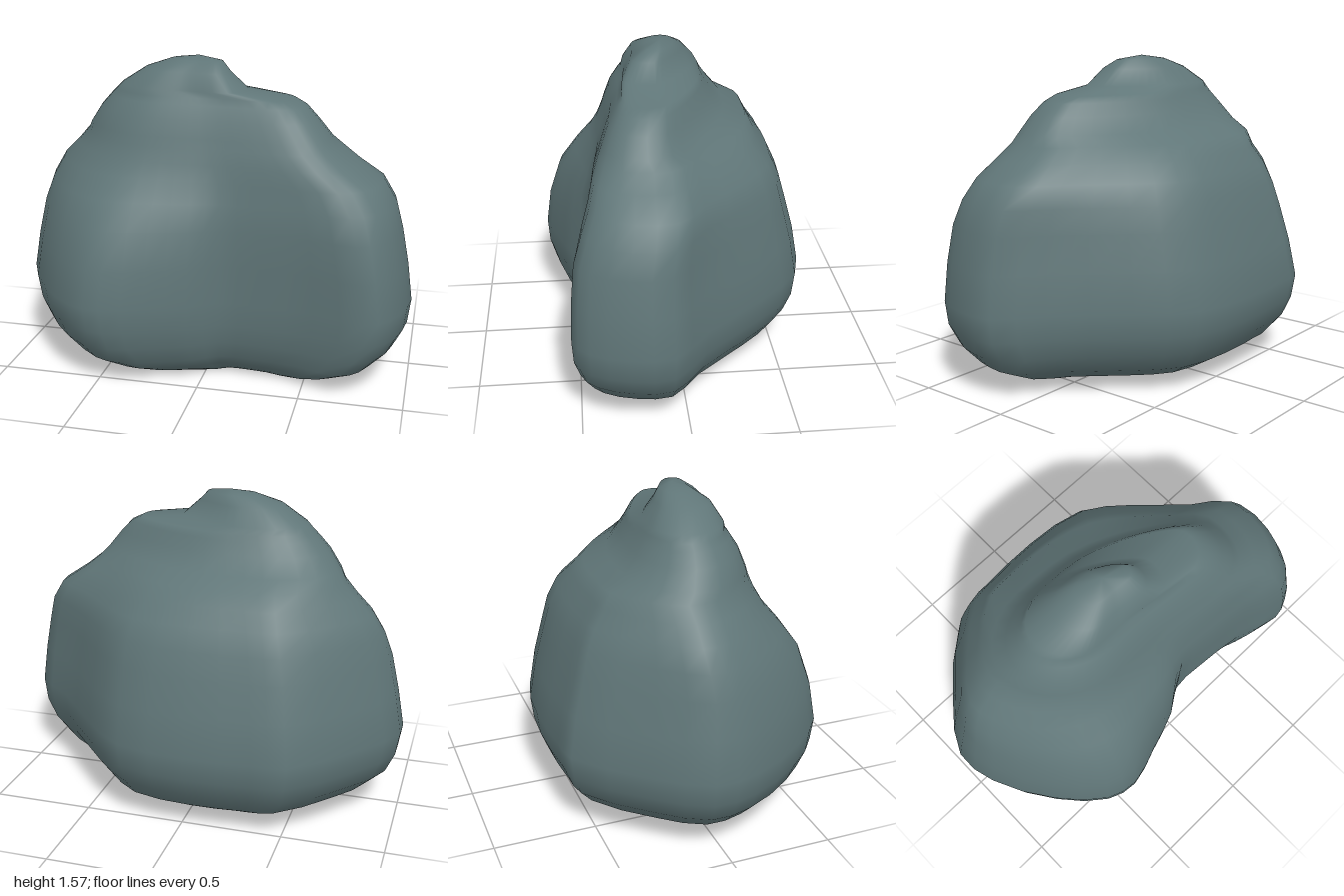
import * as THREE from 'three';

// Plan outlines [x, z] with matching corners, running from +x round by +z
const FOOT = [
  [1, .07], [1, .27], [.93, .45], [.82, .53], [.57, .46], [.3, .43], [.1, .43],
  [-.04, .52], [-.24, .59], [-.44, .65], [-.6, .61], [-.8, .42], [-.97, .13], [-1, -.09],
  [-.84, -.33], [-.54, -.62], [-.38, -.64], [-.05, -.655], [.3, -.6], [.53, -.4], [.8, -.1],
];
const CREST = [
  [.6, .09], [.6, .22], [.55, .31], [.46, .355], [.32, .355], [.16, .34], [.03, .33],
  [-.08, .33], [-.2, .33], [-.34, .32], [-.46, .28], [-.58, .19], [-.66, .06], [-.67, -.08],
  [-.59, -.21], [-.43, -.29], [-.25, -.3], [-.02, -.28], [.18, -.21], [.35, -.12], [.51, -.01],
];

// Levels: y, xMin, xMax, zMin, zMax, then blend from foot to crest outline at the back and front
const LEVELS = [
  [0, -.36, .5, -.12, .33, 0, 0],
  [.025, -.54, .6, -.31, .41, 0, 0],
  [.06, -.7, .72, -.43, .48, 0, 0],
  [.12, -.84, .85, -.53, .56, 0, 0],
  [.21, -.935, .935, -.6, .61, 0, 0],
  [.31, -.98, .985, -.64, .645, 0, 0],
  [.43, -1, 1, -.655, .655, 0, 0],
  [.62, -.965, .975, -.62, .635, 0, .08],
  [.8, -.925, .94, -.57, .59, 0, .28],
  [.92, -.885, .905, -.535, .52, 0, .55],
  [1.02, -.83, .84, -.49, .45, .06, .85],
  [1.1, -.75, .72, -.43, .41, .25, 1],
  [1.17, -.69, .63, -.39, .38, .55, 1],
  [1.215, -.66, .59, -.28, .36, .95, 1],
  [1.3, -.6, .52, -.21, .325, 1, 1],
  [1.36, -.545, .46, -.17, .285, 1, 1],
  [1.39, -.515, .4, -.155, .26, 1, 1],
  [1.42, -.485, .17, -.135, .245, 1, 1],
  [1.5, -.36, .08, -.07, .2, 1, 1],
  [1.545, -.23, .035, -.02, .13, 1, 1],
];
const SEG = 42;

// Smooth an outline and scale it into the unit square
function unitOutline(points) {
  const curve = new THREE.CatmullRomCurve3(points.map(([x, z]) => new THREE.Vector3(x, 0, z)), true);
  const ring = Array.from({ length: SEG }, (_, i) => curve.getPoint(i / SEG));
  const box = new THREE.Box3().setFromPoints(ring);
  return ring.map(p => [
    (p.x - box.min.x) / (box.max.x - box.min.x),
    (p.z - box.min.z) / (box.max.z - box.min.z),
  ]);
}

function boulderGeometry() {
  const foot = unitOutline(FOOT), crest = unitOutline(CREST);
  const pos = [], index = [];
  const mix = THREE.MathUtils.lerp;

  // Stacked cross-sections
  for (const [y, x0, x1, z0, z1, back, front] of LEVELS) {
    for (let j = 0; j < SEG; j++) {
      const t = mix(back, front, THREE.MathUtils.smoothstep(foot[j][1], .4, .75));
      pos.push(
        mix(x0, x1, mix(foot[j][0], crest[j][0], t)), y,
        mix(z0, z1, mix(foot[j][1], crest[j][1], t)));
    }
  }
  for (let i = 0; i < LEVELS.length - 1; i++) {
    for (let j = 0; j < SEG; j++) {
      const a = i * SEG + j, b = i * SEG + (j + 1) % SEG;
      index.push(a, a + SEG, b, b, a + SEG, b + SEG);
    }
  }

  // Underside and summit
  const under = pos.length / 3, summit = under + 1, last = (LEVELS.length - 1) * SEG;
  pos.push(.05, .005, .1, -.09, 1.565, .05);
  for (let j = 0; j < SEG; j++) {
    const k = (j + 1) % SEG;
    index.push(under, j, k, summit, last + k, last + j);
  }

  const geo = new THREE.BufferGeometry();
  geo.setAttribute('position', new THREE.Float32BufferAttribute(pos, 3));
  geo.setIndex(index);
  geo.computeVertexNormals();
  return geo;
}

export function createModel() {
  const group = new THREE.Group();
  group.name = 'rock';
  const stone = new THREE.MeshStandardMaterial({ color: 0x607678 });
  stone.name = 'slate stone';
  const boulder = new THREE.Mesh(boulderGeometry(), stone);
  boulder.name = 'boulder';
  group.add(boulder);
  return group;
}
